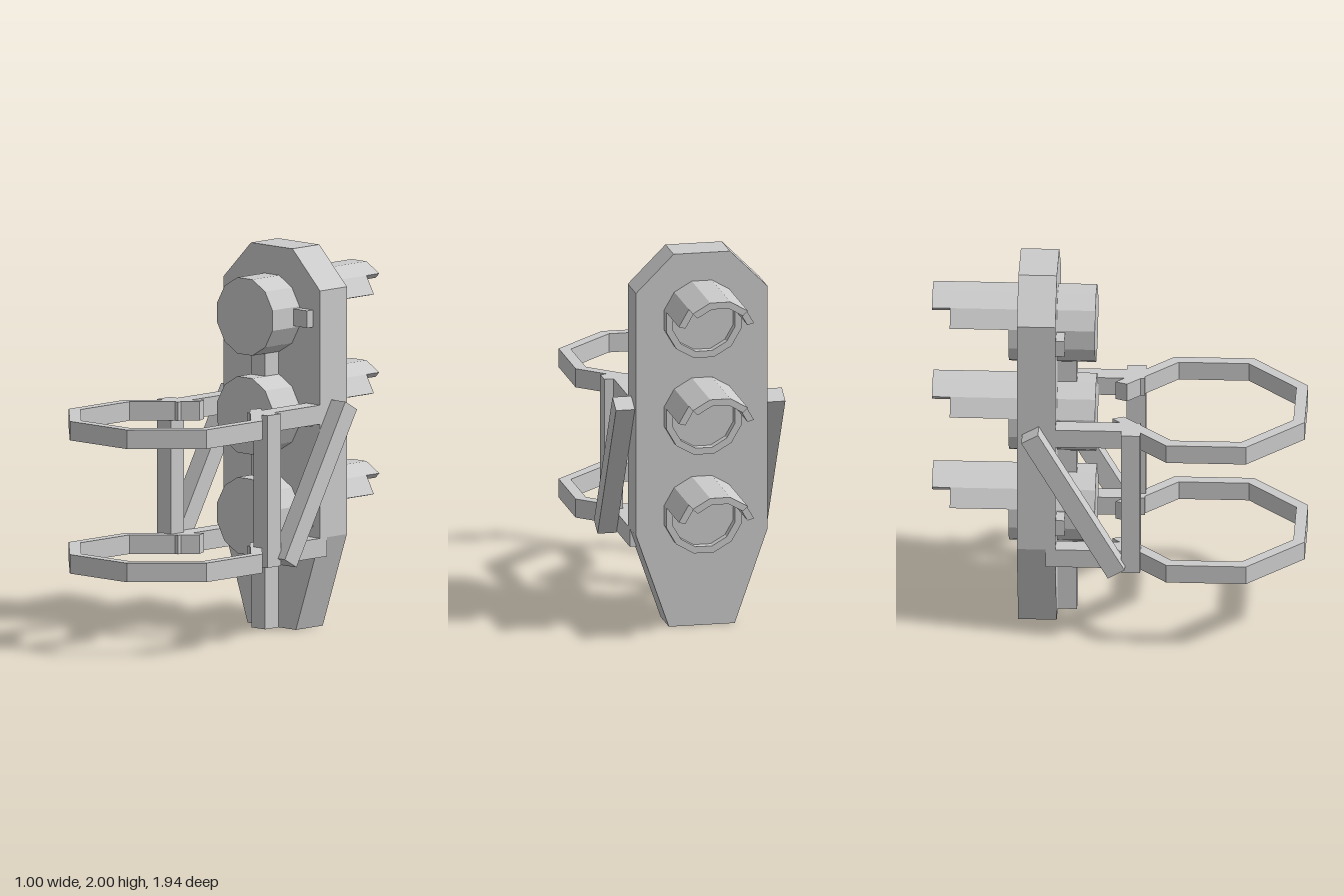
import * as THREE from 'three';

const grey = new THREE.MeshStandardMaterial({ color: 0xcccccc, flatShading: true });
const DEG = Math.PI / 180;

function add(parent, name, geometry, x = 0, y = 0, z = 0) {
  const mesh = new THREE.Mesh(geometry, grey);
  mesh.name = name;
  mesh.position.set(x, y, z);
  parent.add(mesh);
  return mesh;
}

// Box given by its minimum and maximum corners
function box(parent, name, [x0, y0, z0], [x1, y1, z1]) {
  return add(parent, name, new THREE.BoxGeometry(x1 - x0, y1 - y0, z1 - z0),
    (x0 + x1) / 2, (y0 + y1) / 2, (z0 + z1) / 2);
}

// Faceted band between two flat-to-flat radii, swept from angle a to b (degrees)
function band(outer, inner, sides, a, b, depth) {
  const step = 360 / sides;
  const k = 1 / Math.cos(step / 2 * DEG);
  const points = [];
  const at = (r, t) => points.push(new THREE.Vector2(r * k * Math.cos(t * DEG), r * k * Math.sin(t * DEG)));
  for (let t = a; t <= b + 0.01; t += step) at(outer, t);
  for (let t = b; t >= a - 0.01; t -= step) at(inner, t);
  return new THREE.ExtrudeGeometry(new THREE.Shape(points), { depth, bevelEnabled: false });
}

// Twelve-sided drum along z with flats at the top and sides
function drum(radius, depth) {
  const g = new THREE.CylinderGeometry(radius / Math.cos(15 * DEG), radius / Math.cos(15 * DEG), depth, 12);
  return g.rotateY(15 * DEG).rotateX(Math.PI / 2);
}

function createSignal(y) {
  const signal = new THREE.Group();
  signal.name = 'signalLamp';
  signal.position.y = y;
  add(signal, 'lampHousing', drum(0.2, 0.21), 0, 0, -0.225);
  for (const s of [-1, 1]) {
    add(signal, 'housingTab', new THREE.BoxGeometry(0.12, 0.09, 0.05), s * 0.24, 0, -0.3);
  }
  add(signal, 'lens', drum(0.172, 0.01), 0, 0, -0.52);

  // Rim and stepped visor: start angle, end angle, rearmost z
  const sectors = [
    ['lensRim', 165, 375, -0.57],
    ['visorSide', 15, 45, -0.875],
    ['visorSide', 135, 165, -0.875],
    ['visorTop', 45, 135, -0.97],
  ];
  for (const [name, a, b, end] of sectors) {
    add(signal, name, band(0.2, 0.165, 12, a, b, -0.515 - end), 0, 0, end);
  }
  return signal;
}

export function createModel() {
  const model = new THREE.Group();
  model.name = 'trafficSignal';

  // Backing plate with clipped top and tapered foot
  const outline = [[-0.175, 0], [0.175, 0], [0.35, 0.5], [0.35, 1.8], [0.15, 2],
    [-0.15, 2], [-0.35, 1.8], [-0.35, 0.5]].map(([x, y]) => new THREE.Vector2(x, y));
  add(model, 'backPlate',
    new THREE.ExtrudeGeometry(new THREE.Shape(outline), { depth: 0.2, bevelEnabled: false }), 0, 0, -0.52);

  // Lamps and the conduit linking them
  for (const y of [1.65, 1.13, 0.6]) model.add(createSignal(y));
  box(model, 'conduit', [-0.05, 0, -0.33], [0.05, 1.65, -0.22]);

  // Open octagonal clamps with their arms
  for (const top of [1.2, 0.5]) {
    add(model, 'clampRing', band(0.5, 0.44, 8, -67.5, 247.5, 0.1).rotateX(Math.PI / 2), 0, top, 0.47);
    for (const s of [-1, 1]) {
      add(model, 'clampArm', new THREE.BoxGeometry(0.1, 0.1, 0.49), s * 0.3, top - 0.05, -0.125);
    }
  }

  // Upright posts and diagonal braces on both sides
  for (const s of [-1, 1]) {
    add(model, 'clampPost', new THREE.BoxGeometry(0.1, 0.8, 0.1), s * 0.35, 0.8, 0.073);
    const brace = add(model, 'diagonalBrace', new THREE.BoxGeometry(0.1, 0.9, 0.1), s * 0.4, 0.805, -0.224);
    brace.rotation.x = -30 * DEG;
  }
  return model;
}
